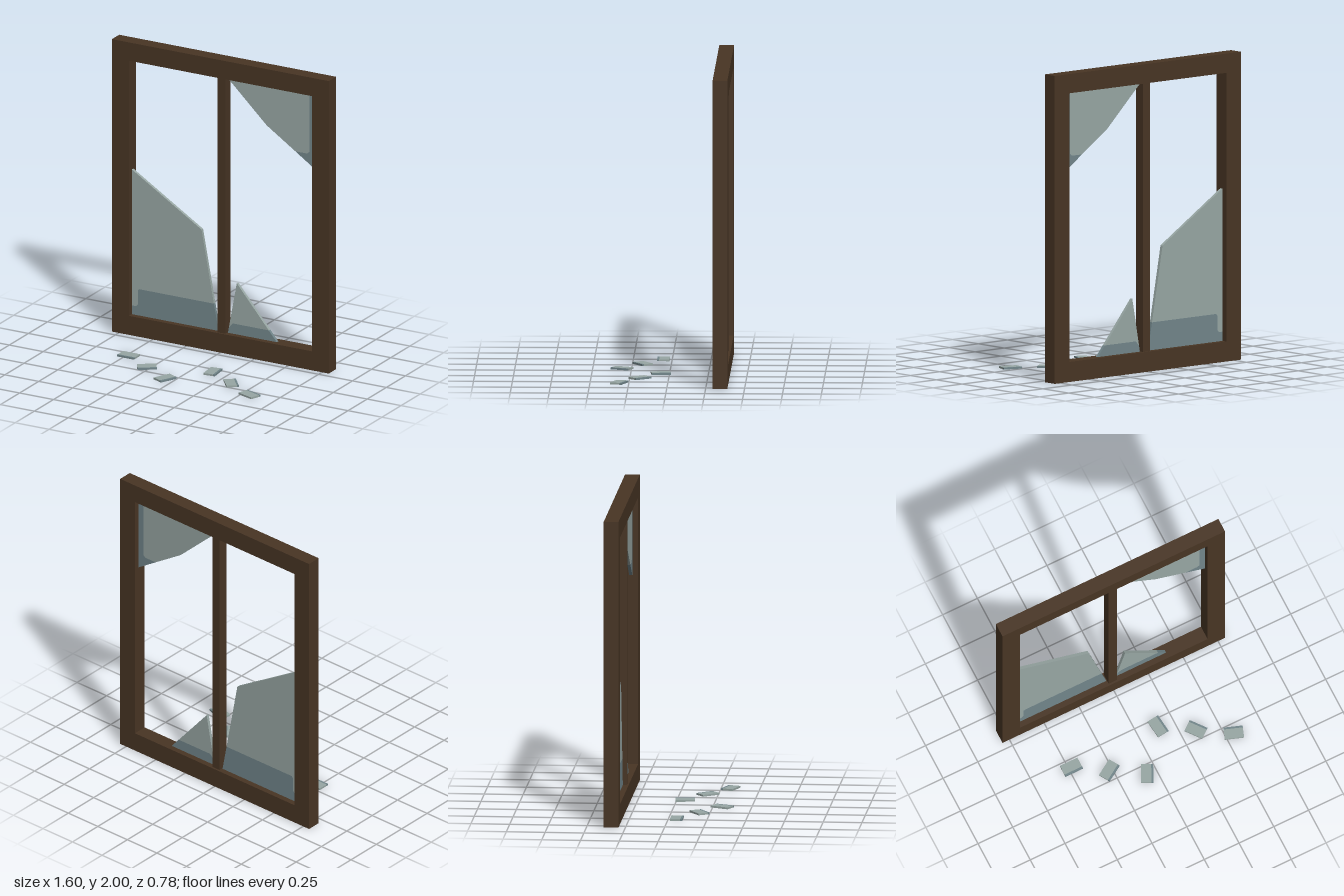
import * as THREE from 'three';

const wood = new THREE.MeshStandardMaterial({ name: 'darkWood', color: 0x483524 });
const glass = new THREE.MeshStandardMaterial({ name: 'paleGlass', color: 0x98a7a4 });
const tint = new THREE.MeshStandardMaterial({ name: 'tintedGlass', color: 0x72868b });

const FRAME_Z = -0.342;

const outline = (points) => new THREE.Shape(points.map(([x, y]) => new THREE.Vector2(x, y)));

// flat plate of the given outline, centred on the frame's depth
function plate(name, shape, depth, material) {
  const geometry = new THREE.ExtrudeGeometry(shape, { depth, bevelEnabled: false });
  geometry.translate(0, 0, FRAME_Z - depth / 2);
  const mesh = new THREE.Mesh(geometry, material);
  mesh.name = name;
  return mesh;
}

function box(name, w, h, d, material, x, y, z) {
  const mesh = new THREE.Mesh(new THREE.BoxGeometry(w, h, d), material);
  mesh.name = name;
  mesh.position.set(x, y, z);
  return mesh;
}

export function createModel() {
  const model = new THREE.Group();
  model.name = 'brokenWindow';

  // wooden frame with one large opening, and a slimmer bar down the middle
  const frame = outline([[-0.8, 0], [0.8, 0], [0.8, 2], [-0.8, 2]]);
  frame.holes.push(outline([[-0.675, 0.13], [-0.675, 1.875], [0.675, 1.875], [0.675, 0.13]]));
  model.add(plate('frame', frame, 0.095, wood));
  model.add(box('centreBar', 0.06, 1.745, 0.07, wood, 0, 1.0025, FRAME_Z));

  // broken panes still in the frame, each with a pale and a tinted region
  const panes = {
    lowerLeftPane: {
      pale: [[-0.675, 0.19], [-0.645, 0.19], [-0.63, 0.205], [-0.63, 0.3], [-0.62, 0.31],
        [-0.069, 0.31], [-0.16, 0.8], [-0.675, 1.12]],
      dark: [[-0.675, 0.13], [-0.035, 0.13], [-0.069, 0.31], [-0.62, 0.31], [-0.63, 0.3],
        [-0.63, 0.205], [-0.645, 0.19], [-0.675, 0.19]],
    },
    upperRightPane: {
      pale: [[0.03, 1.875], [0.32, 1.6], [0.532, 1.46], [0.62, 1.46], [0.635, 1.475], [0.635, 1.875]],
      dark: [[0.532, 1.46], [0.675, 1.365], [0.675, 1.875], [0.635, 1.875], [0.635, 1.475], [0.62, 1.46]],
    },
    lowerRightPane: {
      pale: [[0.042, 0.17], [0.07, 0.2], [0.336, 0.2], [0.1, 0.48]],
      dark: [[0.035, 0.13], [0.395, 0.13], [0.336, 0.2], [0.07, 0.2], [0.042, 0.17]],
    },
  };
  for (const [name, { pale, dark }] of Object.entries(panes)) {
    const pane = new THREE.Group();
    pane.name = name;
    pane.add(plate('paleArea', outline(pale), 0.02, glass));
    pane.add(plate('tintedArea', outline(dark), 0.02, tint));
    model.add(pane);
  }

  // fallen pieces on the ground, in two rows, each turned a little further
  for (let i = 0; i < 6; i++) {
    const shard = new THREE.Group();
    shard.name = 'fallenShard' + (i + 1);
    shard.add(box('paleArea', 0.125, 0.012, 0.067, glass, 0, 0, -0.0065));
    shard.add(box('tintedEdge', 0.125, 0.012, 0.013, tint, 0, 0, 0.0335));
    shard.position.set(-0.48 + i * 0.2075, 0.006, 0.055 + (i % 3) * 0.1285);
    shard.rotation.y = i * 0.56;
    model.add(shard);
  }

  return model;
}
